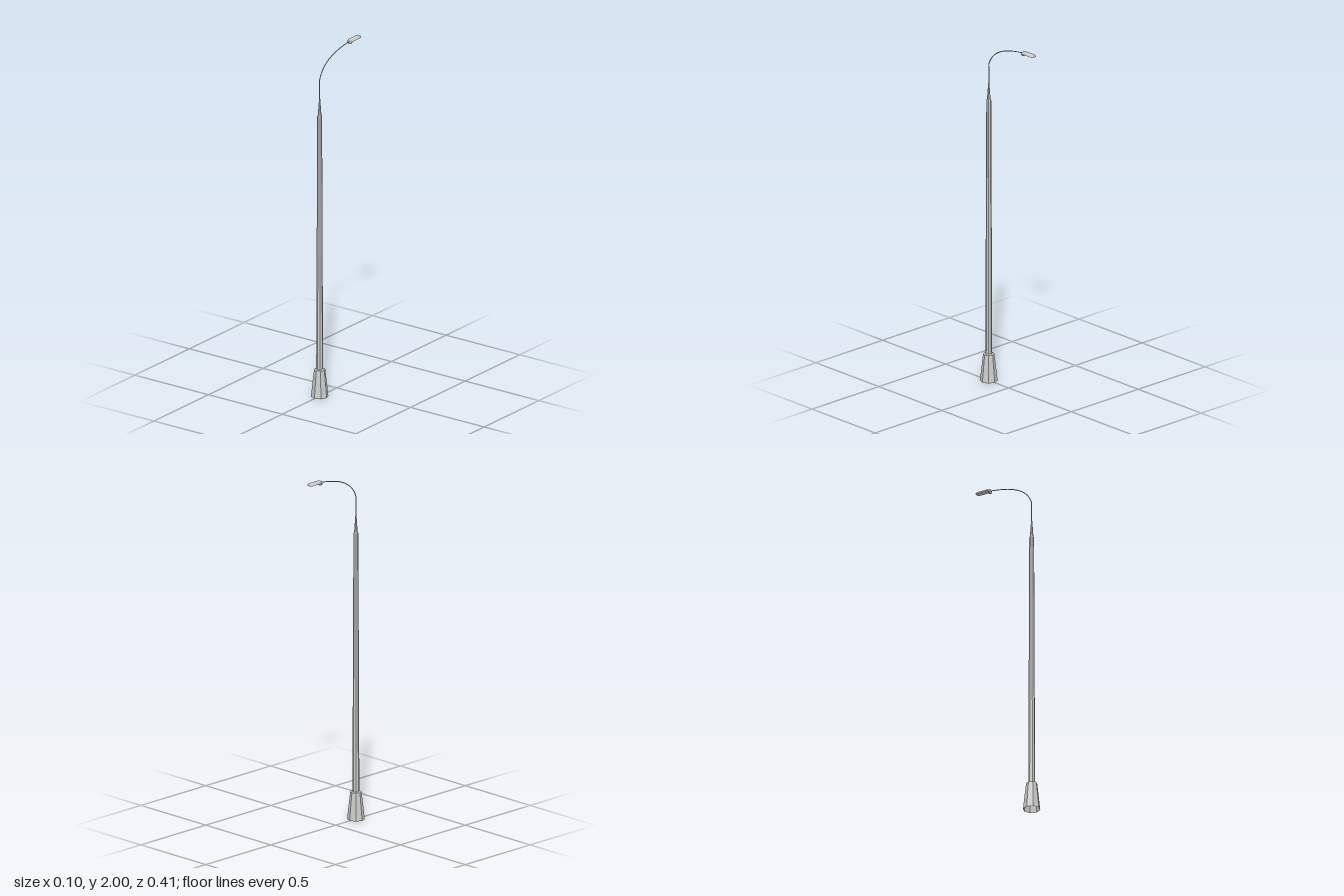
import * as THREE from 'three';
import { toCreasedNormals } from 'three/addons/utils/BufferGeometryUtils.js';

const POLE_Z = 0.157;
const smooth = new THREE.MeshStandardMaterial({ color: 0xcccccc, side: THREE.DoubleSide });
const faceted = new THREE.MeshStandardMaterial({ color: 0xcccccc, side: THREE.DoubleSide, flatShading: true });

const points = (list) => list.map(([x, y]) => new THREE.Vector2(x, y));

function addPart(group, name, geometry, material) {
  const mesh = new THREE.Mesh(geometry, material);
  mesh.name = name;
  group.add(mesh);
  return mesh;
}

export function createModel() {
  const model = new THREE.Group();
  model.name = 'streetLamp';

  // Octagonal foot, open underneath, with a narrow shoulder around the pole
  const base = new THREE.LatheGeometry(points([[0.048, 0], [0.031, 0.157], [0.018, 0.16]]), 8);
  addPart(model, 'base', base, faceted).position.z = POLE_Z;

  // Tapering octagonal pole that narrows into the arm socket
  const pole = new THREE.LatheGeometry(
    points([[0.019, 0.15], [0.0165, 0.82], [0.0135, 1.635], [0.0095, 1.645], [0.0035, 1.735], [0, 1.735]]), 8);
  addPart(model, 'pole', pole, faceted).position.z = POLE_Z;

  // Thin arm: straight up, then sweeping over to the lamp
  const path = new THREE.CurvePath();
  const elbow = new THREE.Vector3(0, 1.845, POLE_Z);
  path.add(new THREE.LineCurve3(new THREE.Vector3(0, 1.72, POLE_Z), elbow));
  path.add(new THREE.CubicBezierCurve3(
    elbow,
    new THREE.Vector3(0, 1.935, 0.127),
    new THREE.Vector3(0, 1.972, 0.03),
    new THREE.Vector3(0, 1.987, -0.12)));
  addPart(model, 'arm', new THREE.TubeGeometry(path, 40, 0.0026, 8), smooth);

  // Lamp head: rounded capsule flattened below
  const lamp = new THREE.Group();
  lamp.name = 'lampHead';
  lamp.position.set(0, 1.986, -0.16);
  model.add(lamp);

  const half = [[0.0175, 0.032], [0.0165, 0.039], [0.0135, 0.044], [0.009, 0.0465], [0, 0.047]];
  const profile = [...half.map(([r, y]) => [r, -y]).reverse(), ...half];
  const shell = new THREE.LatheGeometry(points(profile), 24);
  shell.rotateX(Math.PI / 2);
  const pos = shell.attributes.position;
  for (let i = 0; i < pos.count; i++) pos.setY(i, Math.max(pos.getY(i), 0) * 0.8);
  addPart(lamp, 'lampShell', toCreasedNormals(shell, 0.7), smooth);

  // Half-round mounting collar hanging under the arm end of the lamp
  const collar = new THREE.CylinderGeometry(0.015, 0.015, 0.008, 16, 1, false, -Math.PI / 2, Math.PI);
  collar.rotateX(Math.PI / 2);
  addPart(lamp, 'mountCollar', collar, smooth).position.z = 0.041;

  return model;
}
